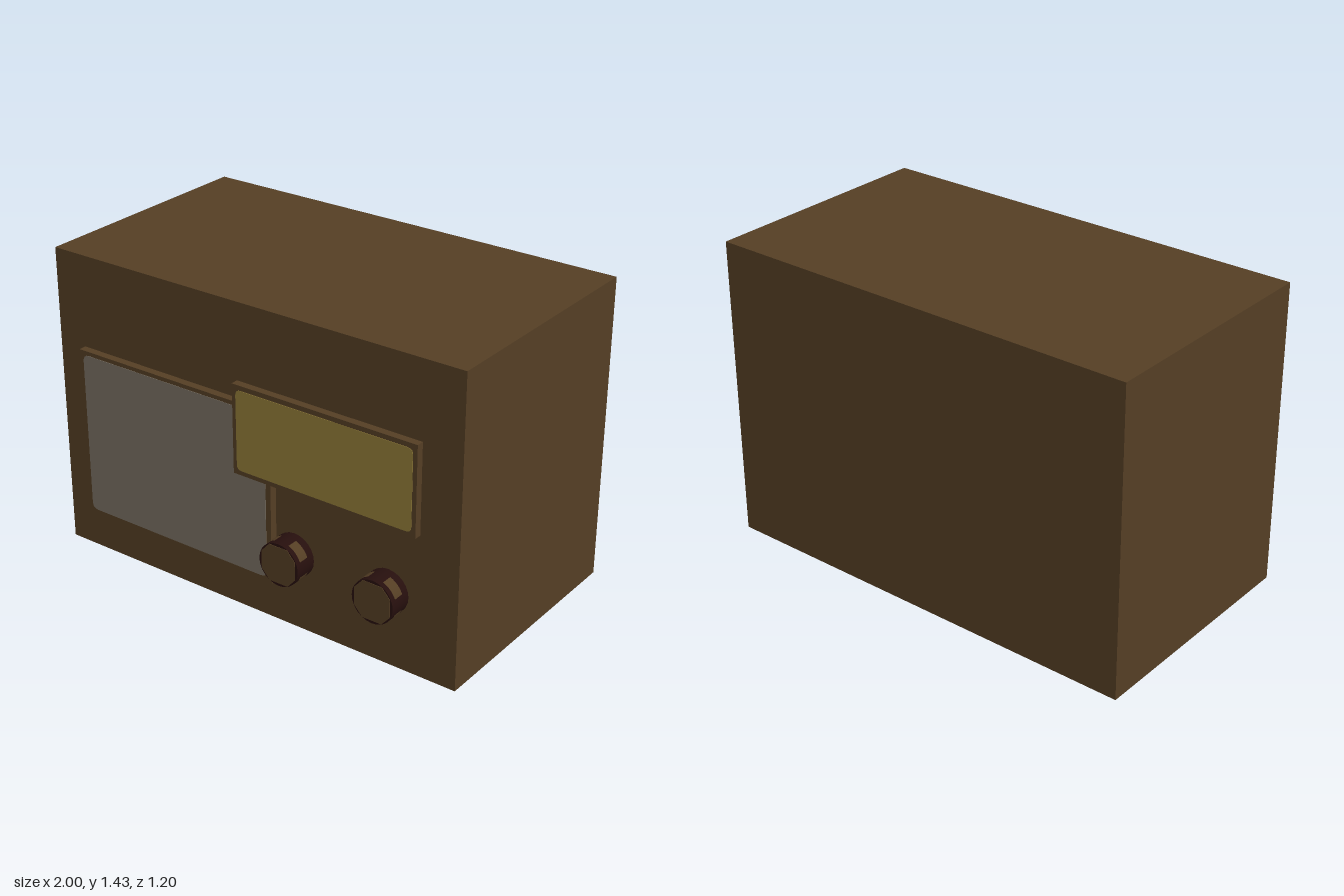
import * as THREE from 'three';

const material = (name, color) => {
  const m = new THREE.MeshStandardMaterial({ color });
  m.name = name;
  return m;
};

export function createModel() {
  const wood = material('brown wood', 0x543e24);
  const dark = material('dark trim', 0x260f0d);
  const cloth = material('grey cloth', 0x776e61);
  const glass = material('amber dial', 0x8f7a38);
  const radio = new THREE.Group();
  radio.name = 'tableRadio';

  const add = (name, geometry, mat, parent = radio) => {
    const mesh = new THREE.Mesh(geometry, mat);
    mesh.name = name;
    parent.add(mesh);
    return mesh;
  };

  // Box given by its lower and upper limits on each axis
  const box = (name, x0, x1, y0, y1, z0, z1, mat) =>
    add(name, new THREE.BoxGeometry(x1 - x0, y1 - y0, z1 - z0), mat)
      .position.set((x0 + x1) / 2, (y0 + y1) / 2, (z0 + z1) / 2);

  // Thin plate with rounded corners, facing +z
  const plate = (w, h, r, t = 0.002) => {
    const s = new THREE.Shape();
    const x = w / 2, y = h / 2;
    s.moveTo(-x + r, -y);
    s.lineTo(x - r, -y).quadraticCurveTo(x, -y, x, -y + r);
    s.lineTo(x, y - r).quadraticCurveTo(x, y, x - r, y);
    s.lineTo(-x + r, y).quadraticCurveTo(-x, y, -x, y - r);
    s.lineTo(-x, -y + r).quadraticCurveTo(-x, -y, -x + r, -y);
    return new THREE.ExtrudeGeometry(s, { depth: t, bevelEnabled: false, curveSegments: 4 });
  };

  // Cabinet with a grey underside
  box('cabinet', -1, 1, 0.068, 1.43, -0.597, 0.492, [wood, wood, wood, cloth, wood, wood]);

  // Plinth, its bottom panel and the worn strips along its sides
  box('plinth', -0.905, 0.905, 0.002, 0.068, -0.505, 0.402, dark);
  const bottom = add('plinthBottom', plate(1.75, 0.85, 0.02), wood);
  bottom.rotation.x = Math.PI / 2;
  bottom.position.set(0, 0.002, -0.052);

  const strip = (name, length, x, z, turn) => {
    const m = add(name, plate(length, 0.026, 0.012), wood);
    m.position.set(x, 0.033, z);
    m.rotation.y = turn;
  };
  for (const [a, b] of [[-0.53, 0.35], [0.5, 0.72], [0.8, 0.865]])
    strip('plinthFrontStrip', b - a, (a + b) / 2, 0.402, 0);
  for (const [a, b] of [[-0.82, -0.7], [-0.2, 0.5], [0.7, 0.86]])
    strip('plinthBackStrip', b - a, (a + b) / 2, -0.505, Math.PI);
  for (const side of [-1, 1])
    for (const [a, b] of [[-0.32, 0.19], [-0.48, -0.4]])
      strip('plinthSideStrip', b - a, side * 0.905, (a + b) / 2, side * Math.PI / 2);

  // Speaker grille
  box('grilleFrame', -0.865, 0.135, 0.25, 1.02, 0.48, 0.526, wood);
  add('grilleCloth', plate(0.955, 0.73, 0.03), cloth).position.set(-0.367, 0.637, 0.526);

  // Tuning dial on its backing block
  box('dialBacking', 0, 0.815, 0.745, 1.09, 0.48, 0.525, wood);
  box('dialFrame', -0.025, 0.842, 0.722, 1.115, 0.523, 0.556, wood);
  add('dialGlass', plate(0.83, 0.352, 0.025), glass).position.set(0.408, 0.918, 0.556);

  // Knobs with brown caps and worn patches on the rim
  for (const x of [0.227, 0.68]) {
    const knob = new THREE.Group();
    knob.name = 'knob';
    knob.position.set(x, 0.406, 0.545);
    radio.add(knob);
    add('knobBody', new THREE.CylinderGeometry(0.096, 0.096, 0.106, 24), dark, knob).rotation.x = Math.PI / 2;
    const cap = new THREE.Shape([
      [0.045, 0.083], [0.083, 0.04], [0.083, -0.04], [0.045, -0.083],
      [-0.045, -0.083], [-0.083, -0.04], [-0.083, 0.04], [-0.045, 0.083],
    ].map(([u, v]) => new THREE.Vector2(u, v)));
    add('knobCap', new THREE.ExtrudeGeometry(cap, { depth: 0.002, bevelEnabled: false }), wood, knob).position.z = 0.053;
    for (let i = 0; i < 4; i++) {
      const patch = add('knobRimPatch',
        new THREE.CylinderGeometry(0.0975, 0.0975, 0.048, 6, 1, true, Math.PI / 4 + i * Math.PI / 2 - 0.42, 0.84), wood, knob);
      patch.rotation.x = Math.PI / 2;
      patch.position.z = 0.008;
    }
  }
  return radio;
}
